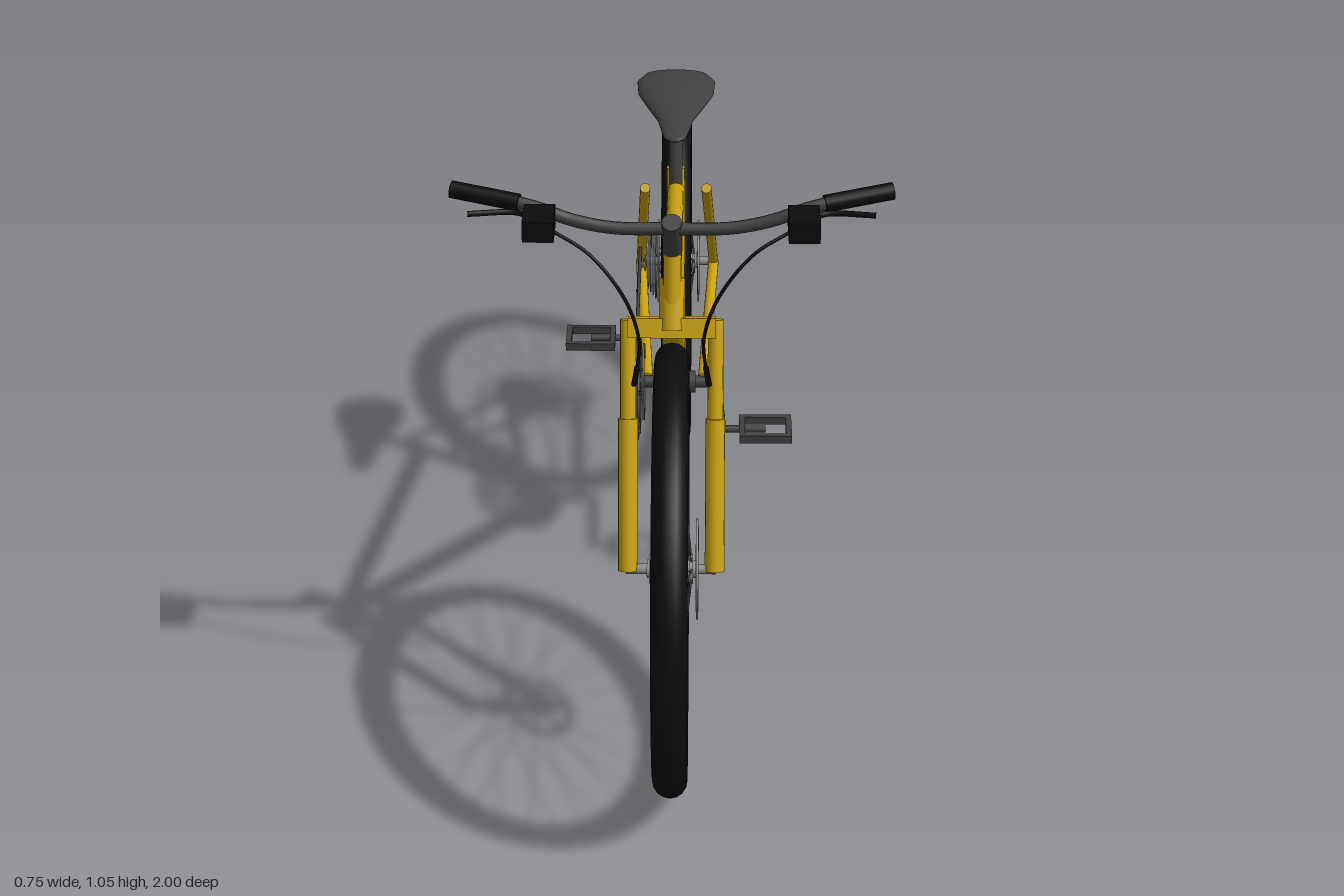
import * as THREE from 'three';

const mat = (name, color, side = THREE.FrontSide) => {
  const m = new THREE.MeshStandardMaterial({ color, side });
  m.name = name;
  return m;
};
const yellow = mat('yellow paint', 0xc8a010);
const charcoal = mat('charcoal metal', 0x404040);
const black = mat('black rubber', 0x0c0c0c);
const silver = mat('silver metal', 0x8c8c8c);
const steel = mat('steel', 0x666666);

const V = (p) => new THREE.Vector3(...p);

function add(parent, name, geometry, material) {
  const mesh = new THREE.Mesh(geometry, material);
  mesh.name = name;
  parent.add(mesh);
  return mesh;
}

// Straight round bar from a to b
function bar(parent, name, a, b, r, material, sides = 16) {
  const A = V(a), B = V(b), d = B.clone().sub(A);
  const mesh = add(parent, name, new THREE.CylinderGeometry(r, r, d.length(), sides), material);
  mesh.position.copy(A).add(B).multiplyScalar(0.5);
  mesh.quaternion.setFromUnitVectors(new THREE.Vector3(0, 1, 0), d.normalize());
  return mesh;
}

function box(parent, name, size, pos, material) {
  const mesh = add(parent, name, new THREE.BoxGeometry(...size), material);
  mesh.position.set(...pos);
  return mesh;
}

// Bent round bar through points
function bent(parent, name, points, r, material, closed = false, steps = 48) {
  const curve = new THREE.CatmullRomCurve3(points.map(V), closed, 'centripetal');
  return add(parent, name, new THREE.TubeGeometry(curve, steps, r, 10, closed), material);
}

// Flat annulus facing sideways
function plateRing(parent, name, outer, inner, thick, x, material) {
  const shape = new THREE.Shape().absarc(0, 0, outer, 0, Math.PI * 2);
  shape.holes.push(new THREE.Path().absarc(0, 0, inner, 0, Math.PI * 2, true));
  const geo = new THREE.ExtrudeGeometry(shape, { depth: thick, bevelEnabled: false, curveSegments: 40 });
  geo.translate(0, 0, -thick / 2).rotateY(Math.PI / 2);
  const mesh = add(parent, name, geo, material);
  mesh.position.x = x;
  return mesh;
}

const around = (r, angle, x = 0) => [x, r * Math.sin(angle), r * Math.cos(angle)];

function arms(parent, name, count, r0, r1, x, thick, material) {
  for (let i = 0; i < count; i++) {
    const t = (i / count) * Math.PI * 2;
    bar(parent, name, around(r0, t, x), around(r1, t + 0.25, x), thick, material, 6);
  }
}

function wheel(name, y, z) {
  const g = new THREE.Group();
  g.name = name;
  g.position.set(0, y, z);
  add(g, 'tire', new THREE.TorusGeometry(0.362, 0.03, 16, 72).rotateY(Math.PI / 2), black);
  // Crossed spokes from alternating hub flanges
  for (let i = 0; i < 32; i++) {
    const t = (i / 32) * Math.PI * 2;
    const lean = i % 4 < 2 ? 0.35 : -0.35;
    const x = i % 2 ? 0.035 : -0.035;
    bar(g, 'spoke', around(0.022, t + lean, x), around(0.34, t), 0.0014, steel, 5);
  }
  bar(g, 'hub', [-0.042, 0, 0], [0.042, 0, 0], 0.016, silver);
  for (const s of [-1, 1]) bar(g, 'hubFlange', [s * 0.032, 0, 0], [s * 0.038, 0, 0], 0.026, silver);
  bar(g, 'axle', [-0.078, 0, 0], [0.078, 0, 0], 0.009, silver);
  // Brake rotor
  plateRing(g, 'rotor', 0.087, 0.072, 0.004, 0.045, silver);
  plateRing(g, 'rotorCenter', 0.03, 0.012, 0.004, 0.045, silver);
  arms(g, 'rotorArm', 6, 0.028, 0.075, 0.045, 0.003, silver);
  return g;
}

// Saddle lofted from elliptical sections: z, half width, middle y, half height
function saddleGeometry() {
  const rows = [
    [-0.388, 0.035, 0.924, 0.005], [-0.38, 0.06, 0.922, 0.011], [-0.345, 0.076, 0.92, 0.016],
    [-0.29, 0.073, 0.916, 0.018], [-0.23, 0.053, 0.912, 0.016], [-0.17, 0.034, 0.911, 0.012],
    [-0.11, 0.025, 0.91, 0.009], [-0.085, 0.02, 0.909, 0.007], [-0.073, 0.008, 0.908, 0.003],
  ];
  const n = 24, pos = [], idx = [];
  rows.forEach(([z, w, y, h]) => {
    for (let j = 0; j < n; j++) {
      const t = (j / n) * Math.PI * 2;
      pos.push(w * Math.cos(t), y + h * Math.sin(t), z);
    }
  });
  for (let i = 0; i < rows.length - 1; i++) for (let j = 0; j < n; j++) {
    const a = i * n + j, b = i * n + (j + 1) % n;
    idx.push(a, b, a + n, b, b + n, a + n);
  }
  const end = (rows.length - 1) * n;
  for (let j = 1; j < n - 1; j++) idx.push(0, j + 1, j, end, end + j, end + j + 1);
  const geo = new THREE.BufferGeometry();
  geo.setAttribute('position', new THREE.Float32BufferAttribute(pos, 3));
  geo.setIndex(idx);
  geo.computeVertexNormals();
  return geo;
}

function pedal(parent, side, z) {
  const x = side * 0.176, y = 0.345;
  for (const s of [-1, 1]) {
    box(parent, 'pedalRail', [0.1, 0.016, 0.011], [x, y, z + s * 0.038], charcoal);
    box(parent, 'pedalEnd', [0.011, 0.016, 0.087], [x + s * 0.045, y, z], charcoal);
  }
  bar(parent, 'pedalAxle', [side * 0.085, y, z], [x, y, z], 0.007, charcoal);
}

export function createModel() {
  const bike = new THREE.Group();
  bike.name = 'bicycle';
  const group = (name) => {
    const g = new THREE.Group();
    g.name = name;
    bike.add(g);
    return g;
  };
  const rear = [0.41, -0.608], front = [0.392, 0.608], crank = [0.345, -0.177];
  bike.add(wheel('frontWheel', ...front), wheel('rearWheel', ...rear));

  // Frame
  const frame = group('frame');
  bar(frame, 'topTube', [0, 0.86, 0.43], [0, 0.742, -0.24], 0.016, yellow);
  bar(frame, 'downTube', [0, 0.845, 0.445], [0, 0.35, -0.175], 0.022, yellow);
  bar(frame, 'seatTube', [0, 0.345, -0.18], [0, 0.785, -0.238], 0.018, yellow);
  bar(frame, 'headTube', [0, 0.79, 0.478], [0, 0.872, 0.444], 0.022, yellow);
  bar(frame, 'steerer', [0, 0.79, 0.474], [0, 0.965, 0.446], 0.015, yellow);
  for (const s of [-1, 1]) {
    bar(frame, 'seatStay', [s * 0.06, 0.735, -0.25], [s * 0.077, 0.41, -0.605], 0.01, yellow);
    bar(frame, 'chainStay', [s * 0.056, 0.347, -0.19], [s * 0.077, 0.41, -0.605], 0.011, yellow);
  }

  // Fork
  const fork = group('fork');
  box(fork, 'crown', [0.15, 0.034, 0.034], [0, 0.793, 0.474], yellow).rotation.x = -0.33;
  for (const s of [-1, 1]) {
    bar(fork, 'upperLeg', [s * 0.075, 0.6, 0.538], [s * 0.075, 0.805, 0.468], 0.0135, yellow);
    bar(fork, 'lowerLeg', [s * 0.075, 0.39, 0.61], [s * 0.075, 0.643, 0.524], 0.017, yellow);
  }

  // Saddle and post
  const seat = group('seat');
  bar(seat, 'seatPost', [0, 0.72, -0.215], [0, 0.91, -0.245], 0.013, charcoal);
  add(seat, 'saddle', saddleGeometry(), charcoal);

  // Cockpit
  const cockpit = group('handlebars');
  bar(cockpit, 'stem', [0, 0.915, 0.443], [0, 1.0, 0.498], 0.017, charcoal);
  const half = [[0.1, 0.986, 0.489], [0.17, 1.0, 0.487], [0.22, 1.018, 0.484], [0.27, 1.028, 0.475], [0.36, 1.039, 0.457]];
  const mirrored = half.map(([x, y, z]) => [-x, y, z]).reverse();
  bent(cockpit, 'handlebar', [...mirrored, [0, 0.984, 0.488], ...half], 0.011, charcoal);
  for (const s of [-1, 1]) {
    bar(cockpit, 'grip', [s * 0.255, 1.026, 0.478], [s * 0.37, 1.04, 0.455], 0.015, black);
    box(cockpit, 'shifter', [0.052, 0.036, 0.075], [s * 0.219, 1.015, 0.537], black);
    bent(cockpit, 'brakeLever', [[s * 0.23, 1.012, 0.51], [s * 0.26, 1.012, 0.487], [s * 0.34, 1.017, 0.505]], 0.005, black);
    bent(cockpit, 'brakeCable', [
      [s * 0.2, 1.01, 0.55], [s * 0.135, 0.975, 0.572], [s * 0.08, 0.905, 0.583],
      [s * 0.055, 0.82, 0.565], [s * 0.058, 0.75, 0.54], [s * 0.063, 0.71, 0.52],
    ], 0.003, black);
    bar(cockpit, 'cableEnd', [s * 0.058, 0.75, 0.54], [s * 0.064, 0.705, 0.518], 0.005, black, 8);
  }

  // Cranks and pedals
  const cranks = group('cranks');
  bar(cranks, 'bottomBracket', [-0.09, ...crank], [0.085, ...crank], 0.012, charcoal);
  bar(cranks, 'bracketShell', [-0.04, ...crank], [0.04, ...crank], 0.022, charcoal);
  for (const [s, z] of [[1, 0.018], [-1, -0.37]]) {
    bar(cranks, 'crankArm', [s * 0.083, ...crank], [s * 0.091, 0.345, z], 0.009, charcoal);
    pedal(cranks, s, z);
  }

  // Chainrings with spider
  const rings = group('chainrings');
  rings.position.set(0, ...crank);
  plateRing(rings, 'largeRing', 0.115, 0.1, 0.005, -0.079, charcoal);
  plateRing(rings, 'middleRing', 0.095, 0.082, 0.004, -0.071, steel);
  plateRing(rings, 'smallRing', 0.077, 0.066, 0.004, -0.063, steel);
  arms(rings, 'spiderArm', 5, 0.01, 0.104, -0.074, 0.006, charcoal);

  // Cassette
  const cassette = group('cassette');
  cassette.position.set(0, ...rear);
  for (let i = 0; i < 7; i++) {
    const x = -0.04 - i * 0.0055;
    plateRing(cassette, 'sprocket', 0.088 - i * 0.007, 0.012, 0.003, x, i % 2 ? steel : silver);
  }

  // Chain loop and rear derailleur
  const drive = group('drivetrain');
  const loop = [];
  const arc = (c, r, from, to) => {
    for (let i = 0; i <= 8; i++) {
      const p = around(r, from + (to - from) * i / 8, -0.076);
      loop.push([p[0], p[1] + c[0], p[2] + c[1]]);
    }
  };
  arc(crank, 0.116, -Math.PI / 2, Math.PI / 2);
  arc(rear, 0.078, Math.PI / 2, Math.PI * 1.4);
  loop.push([-0.076, 0.335, -0.595], [-0.076, 0.315, -0.58]);
  bent(drive, 'chain', loop, 0.0035, charcoal, true, 140);
  bar(drive, 'derailleurCage', [-0.08, 0.345, -0.6], [-0.08, 0.24, -0.577], 0.008, charcoal);
  bar(drive, 'derailleurHanger', [-0.078, 0.41, -0.606], [-0.08, 0.345, -0.6], 0.007, charcoal);
  for (const [y, z] of [[0.335, -0.597], [0.25, -0.58]])
    bar(drive, 'pulley', [-0.084, y, z], [-0.072, y, z], 0.014, charcoal);
  return bike;
}
